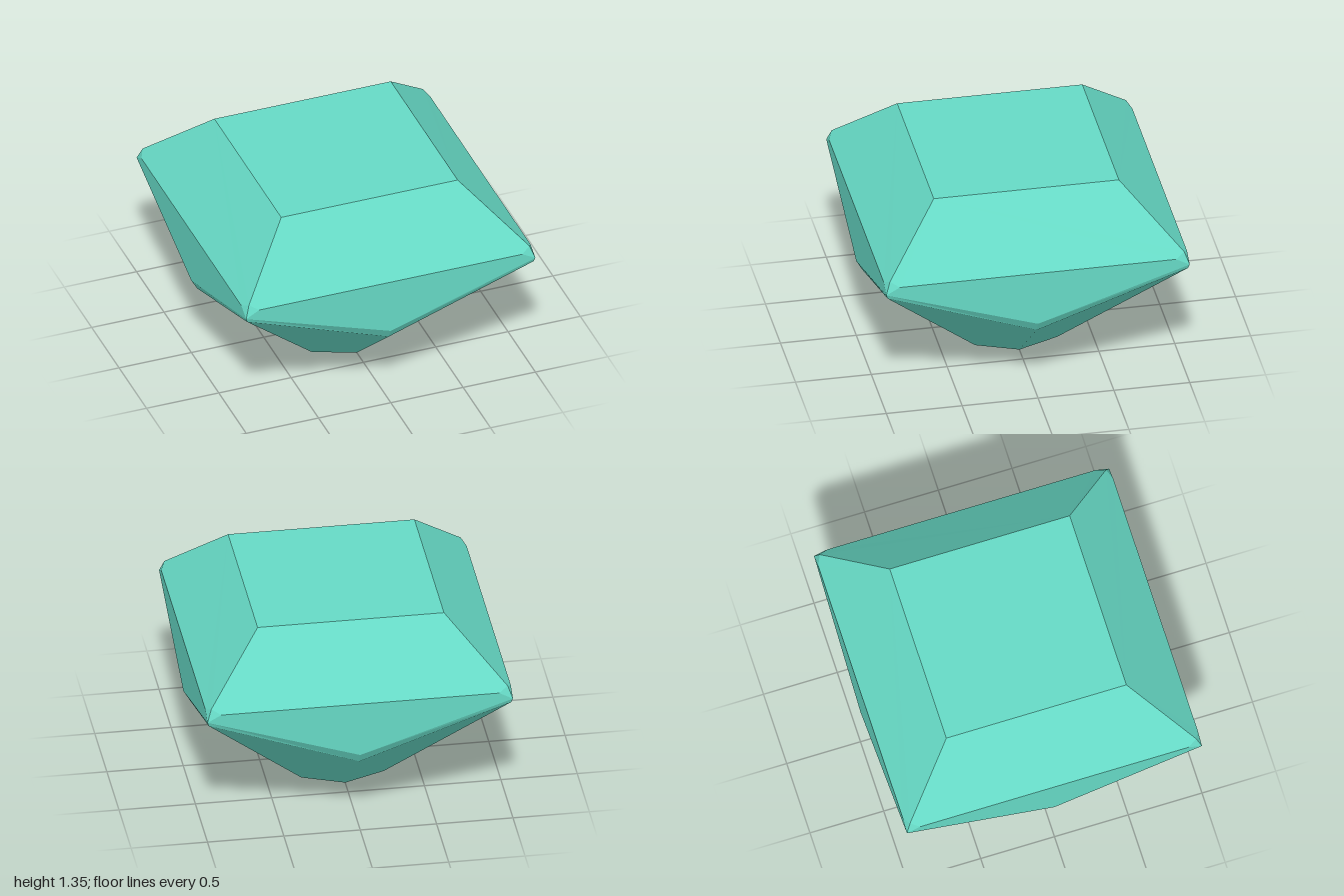
import * as THREE from 'three';

const gemColour = new THREE.MeshStandardMaterial({ color: 0x66d9c5 });
gemColour.name = 'sea green gem';

// Convex polygons (anticlockwise seen from outside) fanned into flat facets
function facets(name, polygons) {
  const positions = [];
  for (const p of polygons)
    for (let i = 1; i < p.length - 1; i++) positions.push(...p[0], ...p[i], ...p[i + 1]);
  const geometry = new THREE.BufferGeometry();
  geometry.setAttribute('position', new THREE.Float32BufferAttribute(positions, 3));
  geometry.computeVertexNormals();
  const mesh = new THREE.Mesh(geometry, gemColour);
  mesh.name = name;
  return mesh;
}

// Mirror a polygon across x, keeping it facing outwards
const mirror = (p) => p.map(([x, y, z]) => [-x, y, z]).reverse();
const both = (p) => [p, mirror(p)];

// Quarter turn about the vertical axis
const turn = ([x, y, z]) => [z, y, -x];

// Repeat one side's polygons on all four sides
function fourSides(polygons) {
  const all = [];
  let side = polygons;
  for (let k = 0; k < 4; k++) {
    all.push(...side);
    side = side.map((p) => p.map(turn));
  }
  return all;
}

export function createModel() {
  const gem = new THREE.Group();
  gem.name = 'cutGem';

  // Key points of the front side, right half
  const tableCorner = [0.61, 1.345, 0.61];
  const crownCorner = [0.97, 0.972, 0.97];
  const edgeEnd = [0.91, 0.94, 1];
  const tip = [1, 0.89, 1];
  const lowerTip = [0.99, 0.86, 0.99];
  const girdleMid = [0, 0.56, 1];
  const pavilionMid = [0, 0.49, 0.96];
  const baseMid = [0, 0, 0.38];
  const baseCorner = [0.27, 0, 0.27];
  const flip = ([x, y, z]) => [-x, y, z];

  // Flat square top
  const table = [tableCorner];
  for (let k = 0; k < 3; k++) table.push(turn(table[k]));
  gem.add(facets('table', [table]));

  // Sloping crown and its small corner cuts
  gem.add(facets('crown', fourSides([
    [flip(tableCorner), flip(crownCorner), flip(edgeEnd), edgeEnd, crownCorner, tableCorner],
  ])));
  gem.add(facets('cornerCuts', fourSides(both([crownCorner, edgeEnd, tip]))));

  // Upright side faces, pointed at the bottom
  gem.add(facets('girdle', fourSides([
    [girdleMid, tip, edgeEnd, flip(edgeEnd), flip(tip)],
  ])));

  // Narrow bevel below the girdle
  gem.add(facets('girdleBevel', fourSides(both([girdleMid, pavilionMid, lowerTip, tip]))));

  // Lower facets running down to the octagonal base
  gem.add(facets('pavilion', fourSides(both([pavilionMid, baseMid, baseCorner, lowerTip]))));

  // Octagonal base, facing down
  const base = fourSides([[baseMid, baseCorner]]).flat().reverse();
  gem.add(facets('base', [base]));

  return gem;
}
